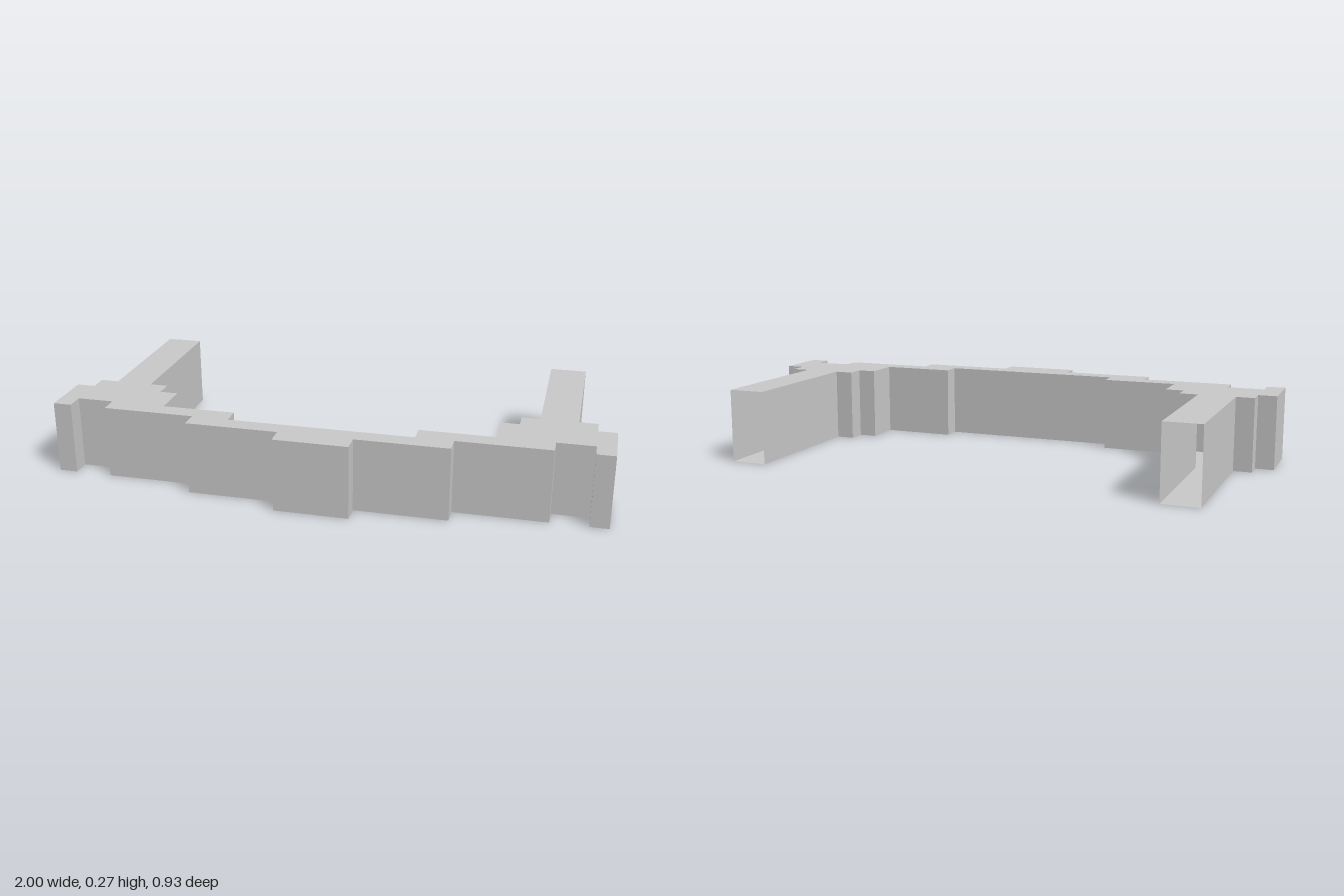
import * as THREE from 'three';

const U = 1 / 15;      // module size of the stepped plan
const HEIGHT = 4 * U;
const BACK = -7;       // row where the arms end, left open

// Left half of the plan (x, z) in modules, from the front centre round to the inside
const HALF = [
  [2, 7], [2, 6], [7, 6], [7, 5], [12, 5], [12, 4], [14, 4], [14, 5], [15, 5],
  [15, 2], [14, 2], [14, 1], [13, 1], [13, BACK], [11, BACK], [11, 1],
  [10, 1], [10, 2], [9, 2], [9, 4], [5, 4], [5, 5],
];

export function createModel() {
  const group = new THREE.Group();
  group.name = 'steppedFrame';
  const material = new THREE.MeshStandardMaterial({ color: 0xcccccc, side: THREE.DoubleSide });
  const add = (name, geometry) => {
    const mesh = new THREE.Mesh(geometry, material);
    mesh.name = name;
    group.add(mesh);
    return mesh;
  };

  const plan = [...HALF, ...HALF.map(([x, z]) => [-x, z]).reverse()]
    .map(([x, z]) => new THREE.Vector2(x * U, z * U));

  // Upright walls along the plan, leaving the back ends of both arms open
  const positions = [];
  plan.forEach((a, i) => {
    const b = plan[(i + 1) % plan.length];
    if (a.y === BACK * U && b.y === BACK * U) return;
    positions.push(
      a.x, 0, a.y, b.x, 0, b.y, b.x, HEIGHT, b.y,
      a.x, 0, a.y, b.x, HEIGHT, b.y, a.x, HEIGHT, a.y,
    );
  });
  const walls = new THREE.BufferGeometry();
  walls.setAttribute('position', new THREE.Float32BufferAttribute(positions, 3));
  walls.computeVertexNormals();
  add('walls', walls);

  // Flat underside and top
  add('underside', new THREE.ShapeGeometry(new THREE.Shape(plan)).rotateX(Math.PI / 2));
  const topPlan = plan.map((p) => new THREE.Vector2(p.x, -p.y));
  add('top', new THREE.ShapeGeometry(new THREE.Shape(topPlan)).rotateX(-Math.PI / 2))
    .position.y = HEIGHT;

  return group;
}
